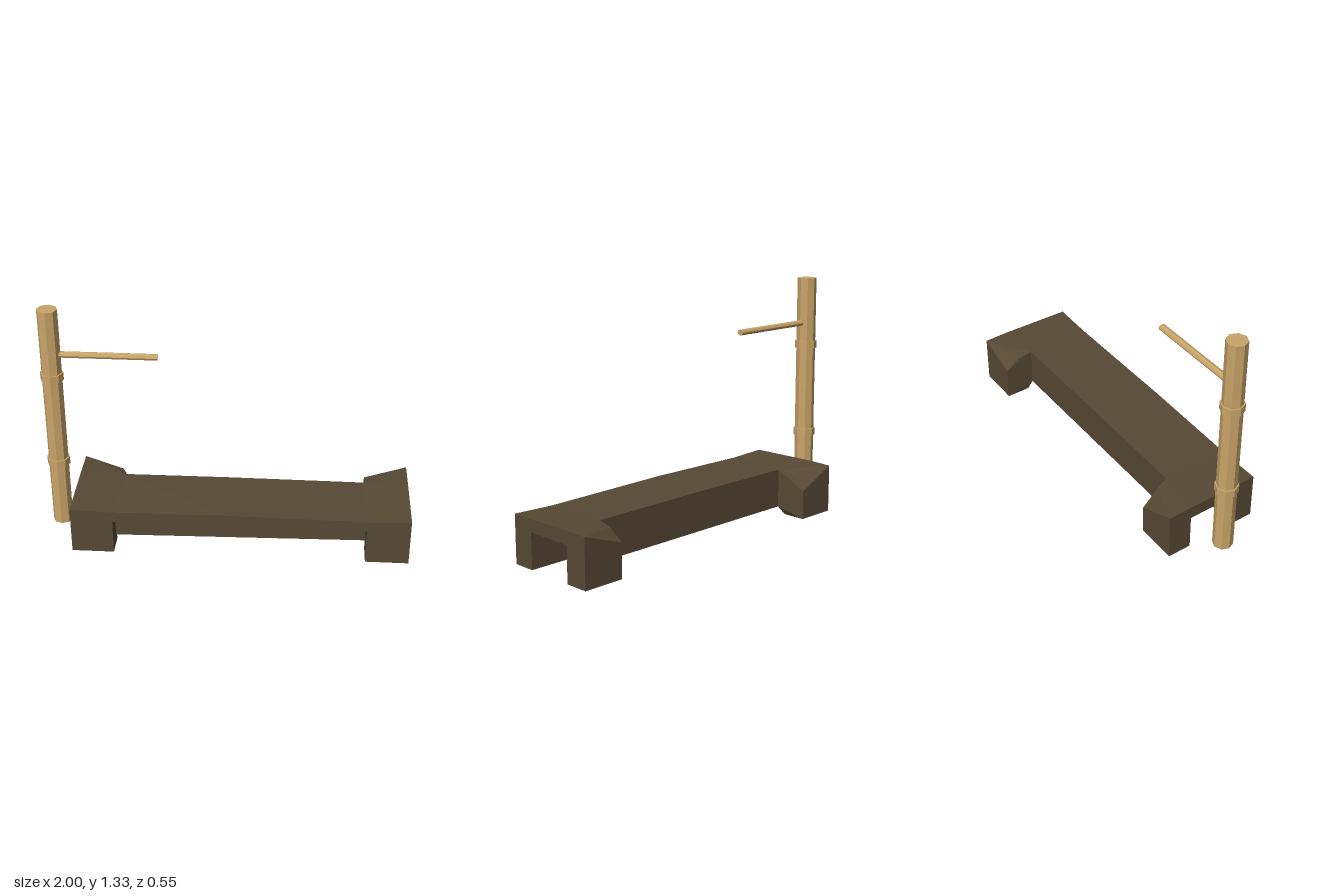
import * as THREE from 'three';
import { ConvexGeometry } from 'three/addons/geometries/ConvexGeometry.js';

const darkWood = new THREE.MeshStandardMaterial({ color: 0x574935, flatShading: true });
darkWood.name = 'dark wood';
const paleWood = new THREE.MeshStandardMaterial({ color: 0xc8a468, flatShading: true });
paleWood.name = 'pale wood';

// Solid block wrapped around a few corner points
function block(name, corners) {
  const points = corners.map(c => new THREE.Vector3(...c));
  const mesh = new THREE.Mesh(new ConvexGeometry(points), darkWood);
  mesh.name = name;
  return mesh;
}

// Eight-sided bar
function bar(name, radius, length, x, y) {
  const mesh = new THREE.Mesh(new THREE.CylinderGeometry(radius, radius, length, 8), paleWood);
  mesh.name = name;
  mesh.position.set(x, y, 0);
  return mesh;
}

// One end of the bench: xo outer, xi inner, xn inner at the beam, yc height of the back inner corner
function benchEnd(side, xo, xi, xn, yc) {
  const end = new THREE.Group();
  end.name = side + 'BenchEnd';
  end.add(block(side + 'Deck', [
    [xo, 0.2, -0.14], [xn, 0.2, -0.11], [xo, 0.2, 0.27], [xi, 0.2, 0.27],
    [xo, 0.275, -0.14], [xn, 0.265, -0.11], [xo, 0.268, 0.27], [xi, 0.26, 0.27],
  ]));
  end.add(block(side + 'FrontLeg', [0, 0.2].flatMap(y => [
    [xo, y, 0.14], [xi, y, 0.14], [xo, y, 0.27], [xi, y, 0.27],
  ])));
  // Back leg with a dropped inner corner
  end.add(block(side + 'BackLeg', [
    [xo, 0, -0.275], [xi, 0, -0.275], [xo, 0, -0.14], [xi, 0, -0.14],
    [xo, 0.272, -0.275], [xi, yc, -0.275], [xo, 0.275, -0.14],
    [xn, 0.265, -0.11], [xn, 0.045, -0.11], [xi, 0.25, -0.19],
  ]));
  return end;
}

export function createModel() {
  const model = new THREE.Group();
  model.name = 'benchWithPost';

  const bench = new THREE.Group();
  bench.name = 'bench';
  bench.add(benchEnd('right', -0.84, -0.61, -0.585, 0.165));
  bench.add(benchEnd('left', 1, 0.765, 0.76, 0.19));

  // Top slab overhanging the beam at the front
  bench.add(block('seat', [
    [-0.585, 0.2, -0.11], [0.76, 0.2, -0.11], [-0.61, 0.2, 0.27], [0.765, 0.2, 0.27],
    [-0.585, 0.265, -0.11], [0.76, 0.265, -0.11], [-0.61, 0.26, 0.27], [0.765, 0.26, 0.27],
    [0, 0.268, -0.11], [0, 0.268, 0.27],
  ]));
  bench.add(block('beam', [0.045, 0.2].flatMap(y => [
    [-0.61, y, -0.11], [0.765, y, -0.11], [-0.61, y, 0.17], [0.765, y, 0.135],
  ])));
  model.add(bench);

  // Upright post with two rings and a side rod
  const px = -0.937;
  model.add(bar('post', 0.055, 1.305, px, 0.6775));
  for (const [name, y] of [['lowerRing', 0.418], ['upperRing', 0.942]]) {
    model.add(bar(name, 0.063, 0.043, px, y));
  }
  const rod = bar('rod', 0.02, 0.54, -0.64, 1.07);
  rod.rotation.z = Math.PI / 2;
  rod.scale.set(0.85, 1, 1);
  model.add(rod);

  return model;
}
